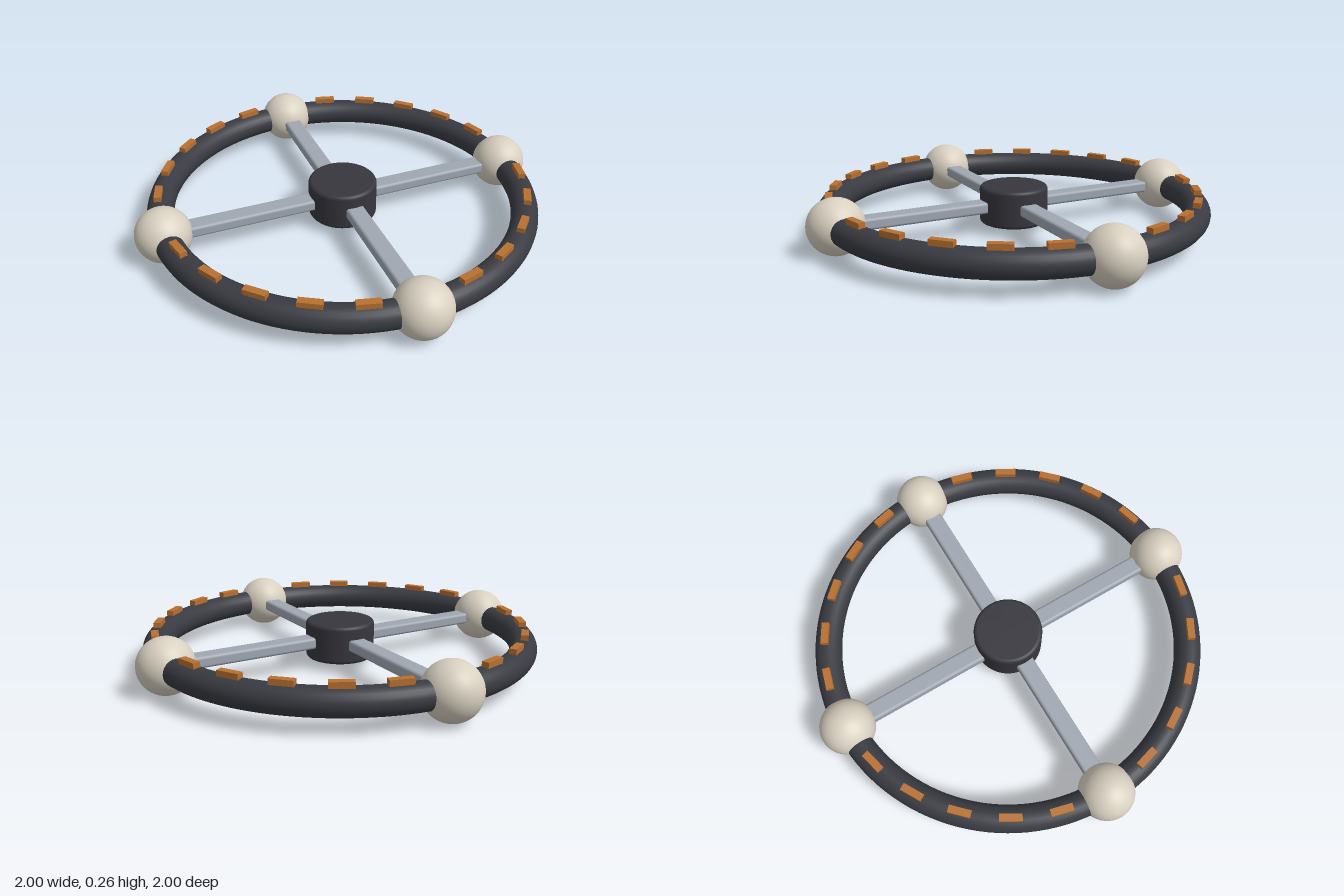
import * as THREE from 'three';
import { RoundedBoxGeometry } from 'three/addons/geometries/RoundedBoxGeometry.js';

const MID = 0.13; // height of the wheel plane
const RING = 0.868; // radius of the rim centre line

function material(name, color) {
  const m = new THREE.MeshStandardMaterial({ color });
  m.name = name;
  return m;
}

export function createModel() {
  const model = new THREE.Group();
  model.name = 'wheelStation';
  const rimDark = material('rim charcoal', 0x393b42);
  const hubDark = material('hub charcoal', 0x38363e);
  const steel = material('spoke grey', 0xa0a7b2);
  const ivory = material('pod ivory', 0xd8d0c0);
  const copper = material('panel copper', 0xb87030);

  const add = (name, geometry, mat, x = 0, y = MID, z = 0, turn = 0) => {
    const mesh = new THREE.Mesh(geometry, mat);
    mesh.name = name;
    mesh.position.set(x, y, z);
    mesh.rotation.y = turn;
    model.add(mesh);
  };

  // Round outer rim
  add('rim', new THREE.TorusGeometry(RING, 0.063, 24, 128).rotateX(Math.PI / 2), rimDark);

  // Hub drum with softly rounded edges
  const R = 0.164, H = 0.091, B = 0.018;
  const profile = [new THREE.Vector2(0, -H)];
  for (const side of [-1, 1]) {
    for (let i = 0; i <= 5; i++) {
      const a = (side < 0 ? i - 5 : i) * Math.PI / 10;
      profile.push(new THREE.Vector2(R - B + B * Math.cos(a), side * (H - B) + B * Math.sin(a)));
    }
  }
  profile.push(new THREE.Vector2(0, H));
  add('hub', new THREE.LatheGeometry(profile, 64), hubDark);

  // Four spokes, each ending in a round pod on the rim
  const spoke = new RoundedBoxGeometry(0.76, 0.055, 0.088, 3, 0.014);
  const pod = new THREE.SphereGeometry(0.13, 40, 28);
  for (let i = 0; i < 4; i++) {
    const a = i * Math.PI / 2;
    const c = Math.cos(a), s = Math.sin(a);
    add('spoke', spoke, steel, c * 0.47, MID, -s * 0.47, a);
    add('pod', pod, ivory, c * 0.87, MID, -s * 0.87);
  }

  // Panels along the top of the rim, five between each pair of pods
  const panel = new THREE.BoxGeometry(0.104, 0.026, 0.034);
  for (let i = 0; i < 24; i++) {
    if (i % 6 === 0) continue;
    const a = i * Math.PI / 12;
    add('rimPanel', panel, copper, Math.cos(a) * 0.872, 0.203, -Math.sin(a) * 0.872, a + Math.PI / 2);
  }
  return model;
}
